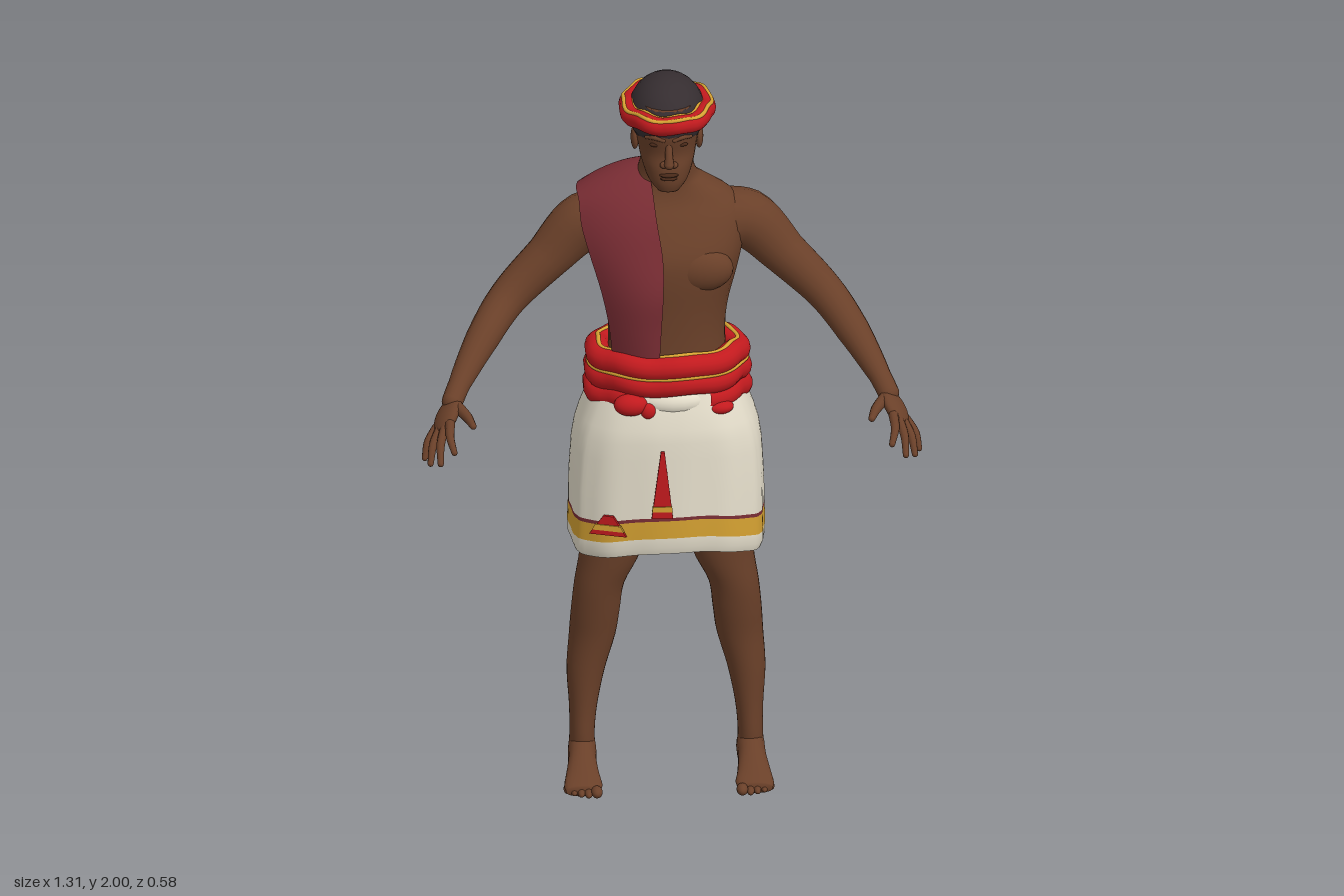
import * as THREE from 'three';
import { mergeGeometries } from 'three/addons/utils/BufferGeometryUtils.js';

const mat = (name, color, side = THREE.FrontSide) => {
  const m = new THREE.MeshStandardMaterial({ color, side });
  m.name = name;
  return m;
};
const V = (x, y, z) => new THREE.Vector3(x, y, z);

// Catmull-Rom subdivision of a table of section values
function smooth(rows, steps = 4) {
  const out = [], at = i => rows[Math.min(Math.max(i, 0), rows.length - 1)];
  for (let i = 0; i < rows.length - 1; i++) {
    for (let s = 0; s < steps; s++) {
      const t = s / steps;
      out.push(rows[i].map((b, k) => {
        const a = at(i - 1)[k], c = at(i + 1)[k], d = at(i + 2)[k];
        return b + 0.5 * t * (c - a + t * (2 * a - 5 * b + 4 * c - d + t * (3 * (b - c) + d - a)));
      }));
    }
  }
  out.push(rows[rows.length - 1]);
  return out;
}

// Surface through closed rings; rowMaterial(i) optionally colours each row
function loft(rings, caps = true, rowMaterial = null) {
  const n = rings[0].length, pos = [], idx = [], g = new THREE.BufferGeometry();
  rings.forEach(r => r.forEach(p => pos.push(p.x, p.y, p.z)));
  for (let i = 0; i < rings.length - 1; i++) {
    if (rowMaterial) g.addGroup(i * n * 6, n * 6, rowMaterial(i));
    for (let j = 0; j < n; j++) {
      const a = i * n + j, b = i * n + (j + 1) % n;
      idx.push(a, b, b + n, a, b + n, a + n);
    }
  }
  if (caps) {
    [0, rings.length - 1].forEach(i => {
      const c = rings[i].reduce((s, p) => s.add(p), V(0, 0, 0)).divideScalar(n);
      const k = pos.length / 3;
      pos.push(c.x, c.y, c.z);
      for (let j = 0; j < n; j++) {
        const a = i * n + j, b = i * n + (j + 1) % n;
        idx.push(k, ...(i ? [a, b] : [b, a]));
      }
    });
  }
  g.setAttribute('position', new THREE.Float32BufferAttribute(pos, 3));
  g.setIndex(idx);
  g.computeVertexNormals();
  return g;
}

const spow = (v, e) => Math.sign(v) * Math.abs(v) ** e;
const around = (n, f) => Array.from({ length: n }, (_, j) => f(j / n * Math.PI * 2));

// Horizontal sections [y, centreZ, radiusX, radiusZ, centreX]
const stack = (rows, e = 2) => loft(smooth(rows).map(([y, cz, rx, rz, cx = 0]) =>
  around(32, a => V(cx + rx * spow(Math.sin(a), 2 / e), y, cz + rz * spow(Math.cos(a), 2 / e)))));

// Tapered limb through points [x, y, z, radius], with rounded ends
function limb(pts, seg = 6, sides = 16) {
  const curve = new THREE.CatmullRomCurve3(pts.map(p => V(p[0], p[1], p[2])));
  curve.getPointAt = curve.getPoint;
  curve.getTangentAt = curve.getTangent;
  const n = (pts.length - 1) * seg, g = new THREE.TubeGeometry(curve, n, 1, sides);
  const P = g.attributes.position, N = g.attributes.normal;
  for (let k = 0; k < P.count; k++) {
    const t = Math.floor(k / (sides + 1)) / seg, i = Math.min(Math.floor(t), pts.length - 2);
    const r = THREE.MathUtils.lerp(pts[i][3], pts[i + 1][3], t - i);
    const c = curve.getPoint(t / (pts.length - 1));
    P.setXYZ(k, c.x + N.getX(k) * r, c.y + N.getY(k) * r, c.z + N.getZ(k) * r);
  }
  const ends = [pts[0], pts[pts.length - 1]].map(p =>
    new THREE.SphereGeometry(p[3], sides, 10).translate(p[0], p[1], p[2]));
  return mergeGeometries([g, ...ends]);
}

// Cloth roll round an ellipse; angle 0 is the front
function roll(rx, rz, cz, y, r, tilt = 0, wave = 0, from = 0, to = Math.PI * 2) {
  const closed = to - from > 6.28, pts = [];
  for (let i = 0; i < 48 + (closed ? 0 : 1); i++) {
    const a = from + (to - from) * i / 48, w = 1 + wave * Math.sin(a * 9);
    pts.push(V(rx * w * Math.sin(a), y + tilt * Math.cos(a) + wave * 0.2 * Math.sin(a * 7), cz + rz * w * Math.cos(a)));
  }
  return new THREE.TubeGeometry(new THREE.CatmullRomCurve3(pts, closed), 120, r, 14, closed);
}

const ball = (x, y, z, rx, ry, rz) => new THREE.SphereGeometry(1, 24, 16).scale(rx, ry, rz).translate(x, y, z);

export function createModel() {
  const root = new THREE.Group();
  const skin = mat('brown skin', 0x6a4029), dark = mat('dark brown', 0x472818);
  const cap = mat('charcoal cap', 0x352d30), red = mat('red cloth', 0xc21a1e);
  const gold = mat('gold trim', 0xd6a232, THREE.DoubleSide);
  const cream = mat('cream cloth', 0xe6dfcc, THREE.DoubleSide);
  const maroon = mat('maroon cloth', 0x7a2d34, THREE.DoubleSide);
  const add = (name, geo, m, parent = root) => {
    const mesh = new THREE.Mesh(geo, m);
    mesh.name = name;
    parent.add(mesh);
    return mesh;
  };

  // Torso and neck
  add('torso', stack([[1.1, -.095, .165, .13], [1.25, -.095, .153, .122], [1.35, -.1, .16, .128],
    [1.45, -.105, .185, .138], [1.52, -.11, .2, .135], [1.6, -.125, .203, .112], [1.65, -.13, .17, .088],
    [1.69, -.125, .11, .072], [1.72, -.115, .077, .066], [1.8, -.095, .062, .062]], 2.2), skin);

  // Head and face
  add('head', stack([[1.715, 0, .028, .024], [1.74, -.03, .052, .062], [1.78, -.055, .068, .088],
    [1.82, -.075, .077, .102], [1.87, -.08, .085, .117], [1.91, -.085, .092, .12], [1.95, -.085, .08, .11]], 2.15), skin);
  add('nose', mergeGeometries([limb([[0, 1.852, .026, .009], [0, 1.825, .036, .01], [0, 1.802, .043, .013]], 4, 12),
    ball(.013, 1.798, .034, .011, .009, .011), ball(-.013, 1.798, .034, .011, .009, .011)]), skin);
  add('lips', mergeGeometries([ball(0, 1.767, .03, .025, .006, .011), ball(0, 1.757, .029, .022, .006, .011)]), dark);
  add('cap', ball(0, 1.9, -.088, .1, .1, .13), cap);

  // Parts built on the left and mirrored to the right
  const left = new THREE.Group();
  left.name = 'leftSide';
  add('brow', limb([[.014, 1.868, .033, .006], [.036, 1.874, .027, .007], [.058, 1.868, .008, .005]], 4, 10), skin, left);
  add('eye', ball(.034, 1.851, .021, .015, .006, .008).rotateY(.05), dark, left);
  add('ear', ball(.084, 1.83, -.078, .011, .034, .021), skin, left);
  add('chestMuscle', ball(.083, 1.475, -.015, .088, .062, .048), skin, left);
  add('arm', limb([[.14, 1.565, -.135, .085], [.215, 1.555, -.145, .079], [.31, 1.46, -.14, .061],
    [.415, 1.36, -.105, .051], [.485, 1.285, -.02, .044], [.55, 1.2, .08, .029], [.57, 1.17, .12, .028]]), skin, left);

  // Hand: flattened palm with spread fingers
  const fwd = V(.05, -.08, .11).normalize(), across = V(.075, -.055, -.085);
  across.addScaledVector(fwd, -across.dot(fwd)).normalize();
  const up = fwd.clone().cross(across), mid = V(.586, 1.143, .155);
  const palm = new THREE.SphereGeometry(1, 20, 14).scale(.04, .02, .058);
  palm.applyMatrix4(new THREE.Matrix4().makeBasis(across, up, fwd).setPosition(mid));
  add('palm', palm, skin, left);
  [[.572, 1.095, .278], [.608, 1.065, .282], [.633, 1.052, .25], [.646, 1.048, .205]].forEach((tip, i) => {
    const base = mid.clone().addScaledVector(fwd, .03).addScaledVector(across, (i - 1.5) * .018);
    const bend = base.clone().lerp(V(...tip), .55).add(V(.006, .008, .004));
    add('finger', limb([[...base.toArray(), .013], [...bend.toArray(), .011], [...tip, .008]], 4, 10), skin, left);
  });
  add('thumb', limb([[.562, 1.165, .135, .017], [.535, 1.155, .185, .014], [.521, 1.148, .23, .009]], 4, 10), skin, left);

  // Leg and foot
  add('leg', stack([[.05, -.125, .036, .045, .22], [.1, -.122, .033, .046, .22], [.18, -.125, .037, .047, .217],
    [.28, -.132, .05, .057, .21], [.38, -.132, .061, .064, .193], [.46, -.118, .064, .063, .185],
    [.54, -.11, .066, .067, .175], [.64, -.107, .082, .075, .145], [.82, -.11, .1, .09, .12]]), skin, left);
  add('foot', loft(smooth([[-.19, .22, .012, .035], [-.172, .22, .031, .065], [-.12, .22, .037, .1], [-.06, .222, .037, .085],
    [0, .224, .044, .058], [.04, .224, .05, .04], [.066, .226, .044, .026]]).map(([z, cx, w, h]) =>
    around(20, a => V(cx + w * Math.cos(a), h / 2 * (1 + spow(Math.sin(a), .8)), z)))), skin, left);
  for (let i = 0; i < 5; i++) {
    const r = i ? .011 - i * .0006 : .015;
    add('toe', ball(.19 + i * .0185 + (i ? .003 : 0), r, .073 - i * i * .0022, r, r, .023), skin, left);
  }
  const right = left.clone();
  right.name = 'rightSide';
  right.scale.x = -1;
  root.add(left, right);

  // Headband with gold edging
  add('headband', roll(.102, .137, -.083, 1.913, .025, .005, .015), red);
  [-.013, .013].forEach(o =>
    add('headbandTrim', roll(.102 + o, .137 + o, -.083, 1.932, .0055, .005, .02), gold));

  // Wrapped skirt rows [y, radiusX, radiusZ]: cream with a gold border and a thin dark line
  const skirt = [[.665, .254, .178], [.685, .262, .184], [.712, .262, .185], [.763, .26, .185], [.773, .26, .185],
    [.85, .259, .184], [.95, .253, .183], [1.0, .245, .182], [1.04, .233, .179], [1.1, .21, .165], [1.15, .19, .15]];
  add('skirt', loft(skirt.map(([y, rx, rz]) => around(96, a => {
    const c = Math.cos(a), s = Math.sin(a), low = Math.min((1.15 - y) / .4, 1);
    const flap = THREE.MathUtils.smoothstep(c, .42, .52) * .035;
    const k = 1 - .015 + low * (flap + .014 * Math.cos(a * 11) * (c > 0 ? 1 : .5));
    return V(rx * Math.min(k, 1.01) * spow(s, .8), y + low * (.035 * Math.max(c, 0) ** 3 + .005 * Math.sin(a * 3)),
      -.104 + rz * k * spow(c, .8));
  })), false, i => (i === 2 ? 1 : i === 3 ? 2 : 0)), [cream, gold, maroon]);

  // Waist wrap: stacked rolls, the lowest open at the front, with gold lines between
  add('waistRoll', roll(.184, .135, -.095, 1.213, .033, .003, .015), red);
  add('waistRoll', roll(.188, .14, -.1, 1.162, .032, .005, .02), red);
  add('waistRoll', roll(.19, .148, -.107, 1.108, .032, .012, .02, .55, Math.PI * 2 - .4), red);
  add('waistTrim', roll(.182, .133, -.095, 1.244, .006, .003, .02), gold);
  add('waistTrim', roll(.209, .16, -.098, 1.188, .005, .004, .01), gold);
  add('waistFold', ball(.01, 1.115, -.02, .12, .055, .085), cream);
  add('waistKnot', mergeGeometries([ball(-.1, 1.115, .045, .045, .03, .03), ball(-.055, 1.1, .055, .02, .022, .015),
    ball(.13, 1.095, .02, .04, .02, .03)]), red);

  // Hanging cloth ends with gold stripes
  const plate = (name, pts, m, x, y, z, turn) => {
    const shape = new THREE.Shape(pts.map(p => new THREE.Vector2(...p)));
    const mesh = add(name, new THREE.ExtrudeGeometry(shape, { depth: .008, bevelEnabled: false }), m);
    mesh.position.set(x, y, z);
    mesh.rotation.y = turn;
  };
  plate('hangingEnd', [[-.028, 0], [.028, 0], [.006, .19], [-.004, .19]], red, -.02, .81, .092, 0);
  plate('hangingEndStripe', [[-.027, .02], [.027, .02], [.025, .035], [-.025, .035]], gold, -.02, .81, .095, 0);
  plate('sideEnd', [[-.05, 0], [.05, 0], [.015, .055], [-.012, .055]], red, -.16, .755, .07, -.3);
  plate('sideEndStripe', [[-.043, .014], [.043, .014], [.034, .03], [-.034, .03]], gold, -.16, .755, .073, -.3);

  // Shoulder sash rows [xIn, xOut, yIn, yOut, zIn, zOut, bulge], front hem over the shoulder to back hem
  const sash = smooth([[-.025, -.145, 1.22, 1.22, .04, -.01, .015], [-.02, -.155, 1.32, 1.32, .043, 0, .02],
    [-.015, -.175, 1.42, 1.42, .05, 0, .022], [-.015, -.205, 1.52, 1.52, .03, -.02, .025],
    [-.03, -.225, 1.62, 1.59, .004, -.05, .02], [-.04, -.23, 1.695, 1.645, -.045, -.085, .01],
    [-.05, -.235, 1.735, 1.662, -.11, -.14, 0], [-.045, -.22, 1.73, 1.648, -.175, -.205, -.008],
    [-.035, -.19, 1.66, 1.6, -.238, -.235, -.012], [-.03, -.175, 1.55, 1.53, -.268, -.242, -.015],
    [-.03, -.165, 1.42, 1.42, -.272, -.24, -.012], [-.035, -.15, 1.29, 1.29, -.258, -.235, -.01]]);
  const cloth = new THREE.PlaneGeometry(1, 1, 10, sash.length - 1), P = cloth.attributes.position;
  for (let k = 0; k < P.count; k++) {
    const t = 1 - (k % 11) / 10, [xi, xo, yi, yo, zi, zo, b] = sash[sash.length - 1 - Math.floor(k / 11)];
    const hump = 4 * t * (1 - t), L = THREE.MathUtils.lerp;
    P.setXYZ(k, L(xi, xo, t), L(yi, yo, t) + hump * (yi - yo) * .15, L(zi, zo, t) + hump * b);
  }
  cloth.computeVertexNormals();
  add('shoulderSash', cloth, maroon);
  return root;
}
